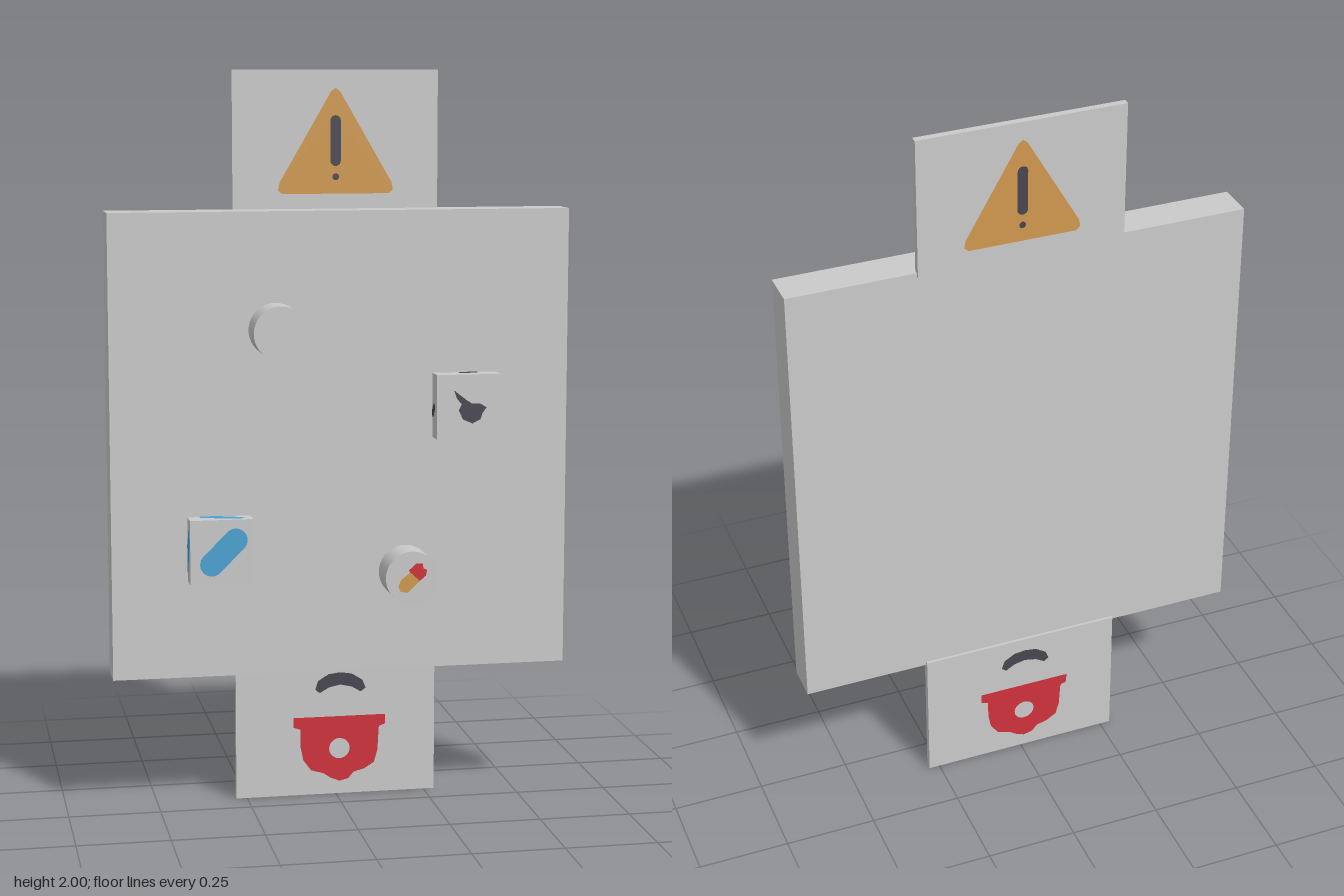
import * as THREE from 'three';

const mat = (name, color) => {
  const m = new THREE.MeshStandardMaterial({ color });
  m.name = name;
  return m;
};

export function createModel() {
  const root = new THREE.Group();
  root.name = 'controlPanel';
  const grey = mat('grey', 0xcacaca);
  const orange = mat('orange', 0xd0994e);
  const dark = mat('charcoal', 0x484651);
  const red = mat('red', 0xd0323c);
  const blue = mat('blue', 0x4aa3d2);

  const add = (name, geometry, material, parent = root) => {
    const mesh = new THREE.Mesh(geometry, material);
    mesh.name = name;
    parent.add(mesh);
    return mesh;
  };

  // Box given by its limits
  const box = (name, x0, x1, y0, y1, z0, z1) =>
    add(name, new THREE.BoxGeometry(x1 - x0, y1 - y0, z1 - z0), grey)
      .position.set((x0 + x1) / 2, (y0 + y1) / 2, (z0 + z1) / 2);

  // Flat shapes for the painted symbols
  const poly = pts => new THREE.Shape(pts.map(p => new THREE.Vector2(...p)));
  const disc = (x, y, r) => new THREE.Shape().absarc(x, y, r, 0, Math.PI * 2);
  const capsule = (x0, y0, x1, y1, r) => {
    const a = Math.atan2(y1 - y0, x1 - x0);
    const s = new THREE.Shape();
    s.absarc(x1, y1, r, a - Math.PI / 2, a + Math.PI / 2);
    s.absarc(x0, y0, r, a + Math.PI / 2, a + Math.PI * 1.5);
    s.closePath();
    return s;
  };

  // Paints a shape on a face; 'at' is the coordinate of that face
  const OFF = 0.0015;
  const paint = (name, shape, material, face, at) => {
    const g = new THREE.ShapeGeometry(shape, 16);
    const d = at + OFF * Math.sign(at);
    if (face === 'front') g.translate(0, 0, at + OFF);
    if (face === 'back') g.rotateY(Math.PI).translate(0, 0, at - OFF);
    if (face === 'left') g.rotateY(Math.PI / 2).translate(d > 0 ? d : at + OFF, 0, 0);
    if (face === 'right') g.rotateY(-Math.PI / 2).translate(at - OFF, 0, 0);
    if (face === 'top') g.rotateX(-Math.PI / 2).translate(0, at + OFF, 0);
    if (face === 'bottom') g.rotateX(Math.PI / 2).translate(0, at - OFF, 0);
    return add(name, g, material);
  };

  // Main board with a sign plate above and below
  const F = 0.007, PF = -0.084, PB = -0.103;
  box('board', -0.625, 0.625, 0.375, 1.63, -0.095, F);
  box('upperPlate', -0.28, 0.28, 1.62, 2, PB, PF);
  box('lowerPlate', -0.28, 0.28, 0, 0.385, PB, PF);

  // Warning triangle with cut-outs for the exclamation mark
  const bar = () => capsule(0, 1.758, 0, 1.865, 0.014);
  const dot = () => disc(0, 1.715, 0.009);
  const triangle = poly([[-0.145, 1.67], [0.145, 1.67], [0.157, 1.68], [0.153, 1.7],
    [0.012, 1.943], [0, 1.952], [-0.012, 1.943], [-0.153, 1.7], [-0.157, 1.68]]);
  triangle.holes.push(bar(), dot());

  // Lower symbol: flanged cup with a round hole, and an arch over it
  const cup = poly([[-0.12, 0.222], [0.14, 0.222], [0.14, 0.195], [0.122, 0.188],
    [0.118, 0.12], [0.108, 0.085], [0.08, 0.068], [0.05, 0.06], [0.035, 0.042],
    [0.01, 0.036], [-0.015, 0.046], [-0.035, 0.06], [-0.07, 0.07], [-0.092, 0.1],
    [-0.1, 0.14], [-0.1, 0.188], [-0.12, 0.195]]);
  cup.holes.push(disc(0.01, 0.13, 0.029));
  const arch = poly([[-0.058, 0.3], [-0.05, 0.325], [-0.02, 0.343], [0.012, 0.347],
    [0.045, 0.342], [0.075, 0.323], [0.084, 0.3], [0.07, 0.29], [0.045, 0.305],
    [0.012, 0.312], [-0.02, 0.305], [-0.045, 0.29]]);

  for (const [face, at] of [['front', PF], ['back', PB]]) {
    paint('warningTriangle', triangle, orange, face, at);
    paint('exclamationBar', bar(), dark, face, at);
    paint('exclamationDot', dot(), dark, face, at);
    paint('cupSymbol', cup, red, face, at);
    paint('archSymbol', arch, dark, face, at);
  }

  // Round knobs
  for (const [name, x, y] of [['upperKnob', -0.18, 1.315], ['lowerKnob', 0.175, 0.647]]) {
    const g = new THREE.CylinderGeometry(0.072, 0.072, 0.103, 40).rotateX(Math.PI / 2);
    add(name, g, grey).position.set(x, y, 0.0515);
  }
  paint('knobMarkLower', poly([[0.137, 0.625], [0.143, 0.61], [0.163, 0.606], [0.196, 0.638],
    [0.17, 0.662], [0.145, 0.643]]), orange, 'front', 0.103);
  paint('knobMarkUpper', poly([[0.196, 0.638], [0.213, 0.652], [0.216, 0.668], [0.206, 0.672],
    [0.204, 0.686], [0.186, 0.686], [0.166, 0.668], [0.17, 0.662]]), red, 'front', 0.103);

  // Square button with a blue capsule on its faces
  const D = 0.062;
  box('blueButton', -0.42, -0.25, 0.64, 0.815, 0, D);
  paint('capsuleFront', capsule(-0.362, 0.695, -0.298, 0.759, 0.032), blue, 'front', D);
  paint('capsuleLeft', poly([[-0.055, 0.67], [-0.04, 0.665], [-0.008, 0.71], [-0.008, 0.79],
    [-0.025, 0.79], [-0.055, 0.72]]), blue, 'left', -0.25);
  paint('capsuleRight', poly([[0.008, 0.665], [0.025, 0.67], [0.055, 0.735], [0.055, 0.785],
    [0.04, 0.79], [0.008, 0.74]]), blue, 'right', -0.42);
  const streak = [[-0.39, -0.025], [-0.37, -0.034], [-0.32, -0.05], [-0.28, -0.054],
    [-0.268, -0.045], [-0.285, -0.032], [-0.34, -0.009], [-0.388, -0.008]];
  paint('capsuleTop', poly(streak), blue, 'top', 0.815);
  paint('capsuleBottom', poly(streak.map(([x, y]) => [x, -y])), blue, 'bottom', 0.64);

  // Square button with a dark pear-shaped mark on its faces
  box('darkButton', 0.25, 0.425, 1.015, 1.19, 0, D);
  paint('pearFront', poly([[0.297, 1.148], [0.305, 1.125], [0.318, 1.11], [0.31, 1.093],
    [0.322, 1.068], [0.348, 1.057], [0.37, 1.068], [0.376, 1.085], [0.387, 1.1],
    [0.37, 1.11], [0.345, 1.112], [0.33, 1.122], [0.312, 1.136]]), dark, 'front', D);
  paint('pearLeft', capsule(-0.032, 1.083, -0.02, 1.098, 0.012), dark, 'left', 0.425);
  paint('pearRight', capsule(0.02, 1.083, 0.032, 1.098, 0.012), dark, 'right', 0.25);
  paint('pearTop', capsule(0.327, -0.031, 0.361, -0.023, 0.011), dark, 'top', 1.19);
  paint('pearBottom', capsule(0.327, 0.031, 0.361, 0.023, 0.011), dark, 'bottom', 1.015);

  return root;
}
